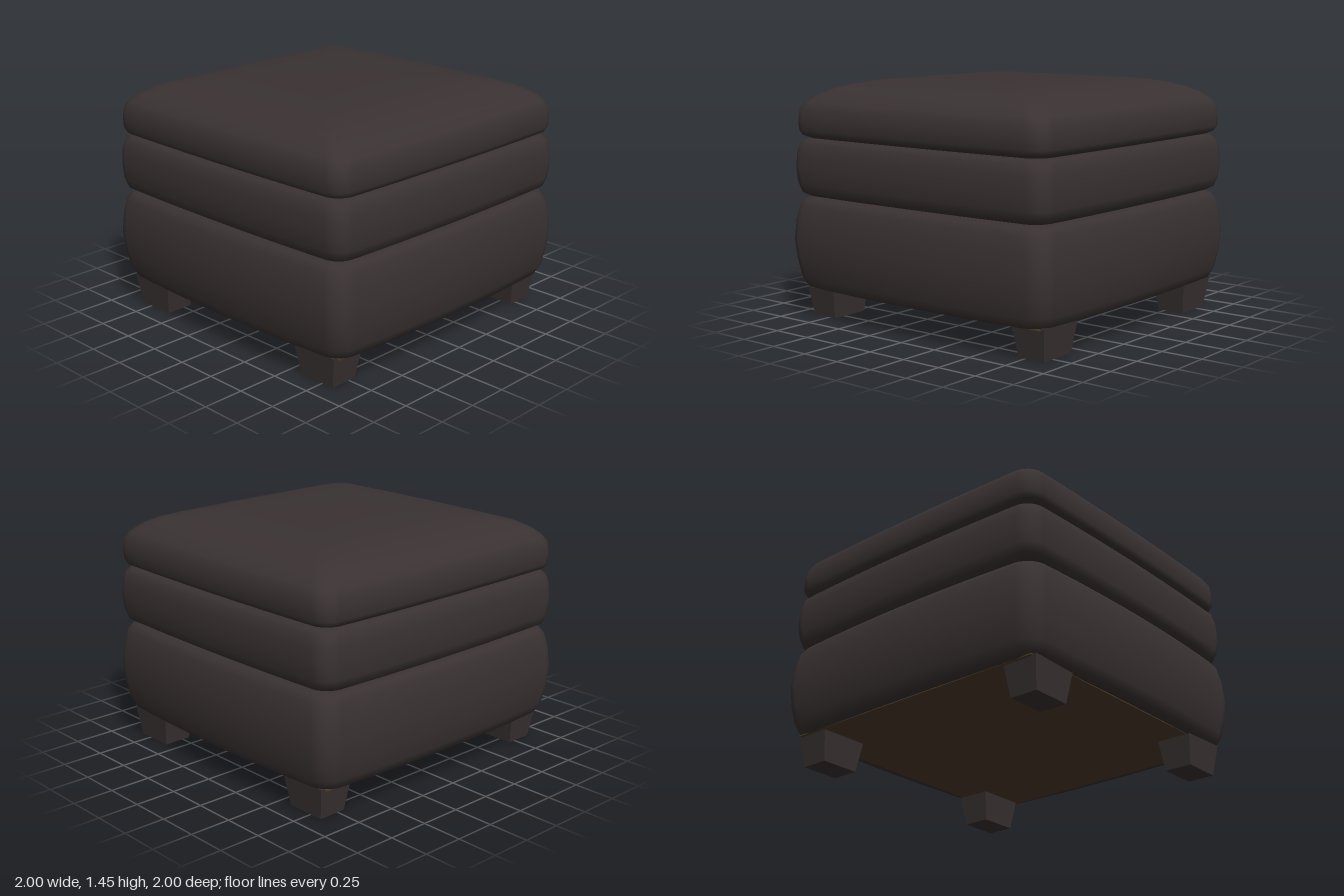
import * as THREE from 'three';

// One rounded-square loop at height y: sides swell by `bulge`, corners have radius r
function ring(half, y, bulge, radius) {
  const pts = [];
  const r = Math.min(radius / Math.max(half, 0.3), 0.4); // relative to half width
  const side = [];
  for (let i = 0; i <= 12; i++) side.push([1, (1 - r) * (i / 6 - 1)]);
  for (let i = 1; i < 6; i++) {
    const a = (i / 6) * Math.PI / 2;
    side.push([1 - r + r * Math.cos(a), 1 - r + r * Math.sin(a)]);
  }
  for (let k = 0; k < 4; k++) {
    const c = Math.round(Math.cos(k * Math.PI / 2)), s = Math.round(Math.sin(k * Math.PI / 2));
    for (const [u, v] of side) {
      const x = u * c - v * s, z = -(u * s + v * c);
      const bx = 1 - bulge * z * z, bz = 1 - bulge * x * x;
      pts.push(x * bx * half, y, z * bz * half);
    }
  }
  return pts;
}

// Soft cushion lofted through [halfWidth, y] pairs, bottom to top
function cushion(name, profile, bulge, radius, material) {
  const rings = profile.map(([h, y]) => ring(h, y, bulge, radius));
  const n = rings[0].length / 3;
  const index = [];
  for (let i = 0; i < rings.length - 1; i++) {
    for (let j = 0; j < n; j++) {
      const a = i * n + j, b = i * n + (j + 1) % n;
      index.push(a, b, a + n, b, b + n, a + n);
    }
  }
  const geo = new THREE.BufferGeometry();
  geo.setAttribute('position', new THREE.Float32BufferAttribute(rings.flat(), 3));
  geo.setIndex(index);
  geo.computeVertexNormals();
  const mesh = new THREE.Mesh(geo, material);
  mesh.name = name;
  return mesh;
}

export function createModel() {
  const group = new THREE.Group();
  group.name = 'ottoman';
  const leather = new THREE.MeshStandardMaterial({ color: 0x3a3232 });
  leather.name = 'dark brown leather';
  const lining = new THREE.MeshStandardMaterial({ color: 0x4b3a2a });
  lining.name = 'brown lining';

  // Three stacked cushions
  group.add(cushion('baseCushion', [
    [0, 0.19], [0.86, 0.19], [0.91, 0.18], [0.945, 0.195], [0.97, 0.25], [0.99, 0.36], [1.0, 0.48],
    [0.99, 0.6], [0.97, 0.69], [0.945, 0.725], [0.91, 0.738], [0.85, 0.742], [0, 0.742],
  ], 0.04, 0.11, leather));
  group.add(cushion('middleCushion', [
    [0, 0.738], [0.85, 0.738], [0.91, 0.745], [0.945, 0.765], [0.962, 0.82], [0.97, 0.91],
    [0.965, 1.0], [0.95, 1.06], [0.925, 1.083], [0.89, 1.09], [0.84, 1.092], [0, 1.092],
  ], 0.025, 0.1, leather));
  group.add(cushion('topCushion', [
    [0, 1.088], [0.84, 1.088], [0.9, 1.093], [0.935, 1.11], [0.95, 1.14], [0.952, 1.2], [0.945, 1.265],
    [0.92, 1.305], [0.87, 1.348], [0.8, 1.385], [0.72, 1.41], [0.6, 1.433], [0.45, 1.443],
    [0.25, 1.447], [0, 1.45],
  ], 0.02, 0.1, leather));

  // Underside lining panel
  const panel = new THREE.Mesh(new THREE.BoxGeometry(1.76, 0.008, 1.76), lining);
  panel.name = 'undersidePanel';
  panel.position.y = 0.184;
  group.add(panel);

  // Four tapered legs
  const legGeo = new THREE.BoxGeometry(0.22, 0.19, 0.31);
  const p = legGeo.attributes.position;
  for (let i = 0; i < p.count; i++) {
    if (p.getY(i) < 0) p.setXYZ(i, p.getX(i) * 0.78, p.getY(i), p.getZ(i) * 0.79);
  }
  legGeo.computeVertexNormals();
  for (const [sx, left] of [[1, 'Left'], [-1, 'Right']]) {
    for (const [sz, end] of [[1, 'front'], [-1, 'back']]) {
      const leg = new THREE.Mesh(legGeo, leather);
      leg.name = `${end}${left}Leg`;
      leg.position.set(sx * 0.79, 0.095, sz * 0.708);
      group.add(leg);
    }
  }
  return group;
}
